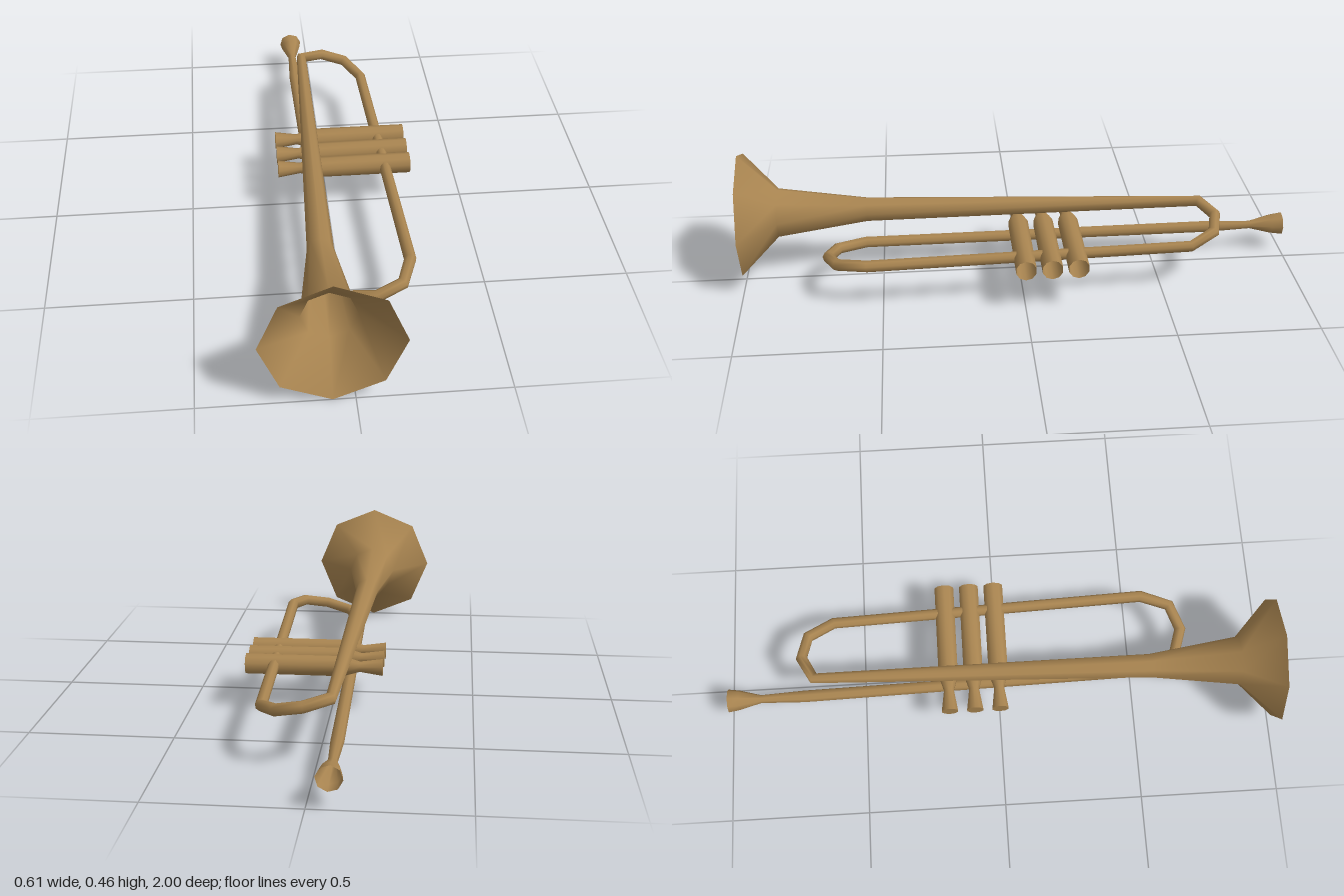
import * as THREE from 'three';

const brass = new THREE.MeshStandardMaterial({ color: 0xa88450, side: THREE.DoubleSide });

// Sweeps a round section along stations [x, y, z, radius], carrying its frame around the bends.
function sweep(stations, sides) {
  const pts = stations.map(([x, y, z]) => new THREE.Vector3(x, y, z));
  const pos = [], index = [];
  const up = new THREE.Vector3(0, 1, 0);
  let last = null;
  pts.forEach((p, i) => {
    const t = new THREE.Vector3();
    if (i > 0) t.add(p.clone().sub(pts[i - 1]).normalize());
    if (i < pts.length - 1) t.add(pts[i + 1].clone().sub(p).normalize());
    t.normalize();
    if (last) up.applyQuaternion(new THREE.Quaternion().setFromUnitVectors(last, t));
    up.addScaledVector(t, -up.dot(t)).normalize();
    last = t;
    const side = new THREE.Vector3().crossVectors(t, up);
    for (let j = 0; j < sides; j++) {
      const a = (j / sides) * Math.PI * 2;
      const v = p.clone()
        .addScaledVector(up, Math.cos(a) * stations[i][3])
        .addScaledVector(side, Math.sin(a) * stations[i][3]);
      pos.push(v.x, v.y, v.z);
      if (i > 0) {
        const k = (j + 1) % sides, r0 = (i - 1) * sides, r1 = i * sides;
        index.push(r0 + j, r0 + k, r1 + j, r0 + k, r1 + k, r1 + j);
      }
    }
  });
  const g = new THREE.BufferGeometry();
  g.setAttribute('position', new THREE.Float32BufferAttribute(pos, 3));
  g.setIndex(index);
  g.computeVertexNormals();
  return g;
}

function add(parent, name, geometry) {
  const mesh = new THREE.Mesh(geometry, brass);
  mesh.name = name;
  parent.add(mesh);
  return mesh;
}

export function createModel() {
  const model = new THREE.Group();
  model.name = 'trumpet';

  // Bell, rear bend, side run, front bend, lead pipe and mouthpiece in one run of tubing
  add(model, 'hornTubing', sweep([
    [-0.072, 0.233, 1.0, 0.232],
    [-0.072, 0.233, 0.87, 0.092],
    [-0.072, 0.232, 0.55, 0.045],
    [-0.045, 0.226, -0.67, 0.021],
    [0.04, 0.211, -0.715, 0.021],
    [0.13, 0.19, -0.693, 0.021],
    [0.188, 0.168, -0.6, 0.02],
    [0.228, 0.166, 0.55, 0.021],
    [0.19, 0.155, 0.655, 0.021],
    [0.1, 0.136, 0.69, 0.021],
    [0.005, 0.116, 0.66, 0.021],
    [-0.048, 0.108, 0.56, 0.021],
    [-0.07, 0.102, -0.72, 0.022],
    [-0.071, 0.102, -0.88, 0.015],
    [-0.071, 0.102, -0.96, 0.037],
    [-0.071, 0.102, -1.0, 0.043],
  ], 8));

  // Three valves lying across the horn: casing open on the left, finger button on the right
  [0, -0.092, -0.184].forEach((z, i) => {
    const valve = new THREE.Group();
    valve.name = 'valve' + (i + 1);
    valve.position.set(0, 0.163, z);
    add(valve, 'casing', sweep([
      [0.303, 0, 0, 0.037],
      [-0.04, 0, 0, 0.037],
      [-0.1, 0, 0, 0.019],
      [-0.18, 0, 0, 0.031],
    ], 10));
    const cap = add(valve, 'buttonCap', new THREE.CircleGeometry(0.031, 10, Math.PI / 2));
    cap.rotation.y = -Math.PI / 2;
    cap.position.x = -0.18;
    model.add(valve);
  });

  return model;
}
